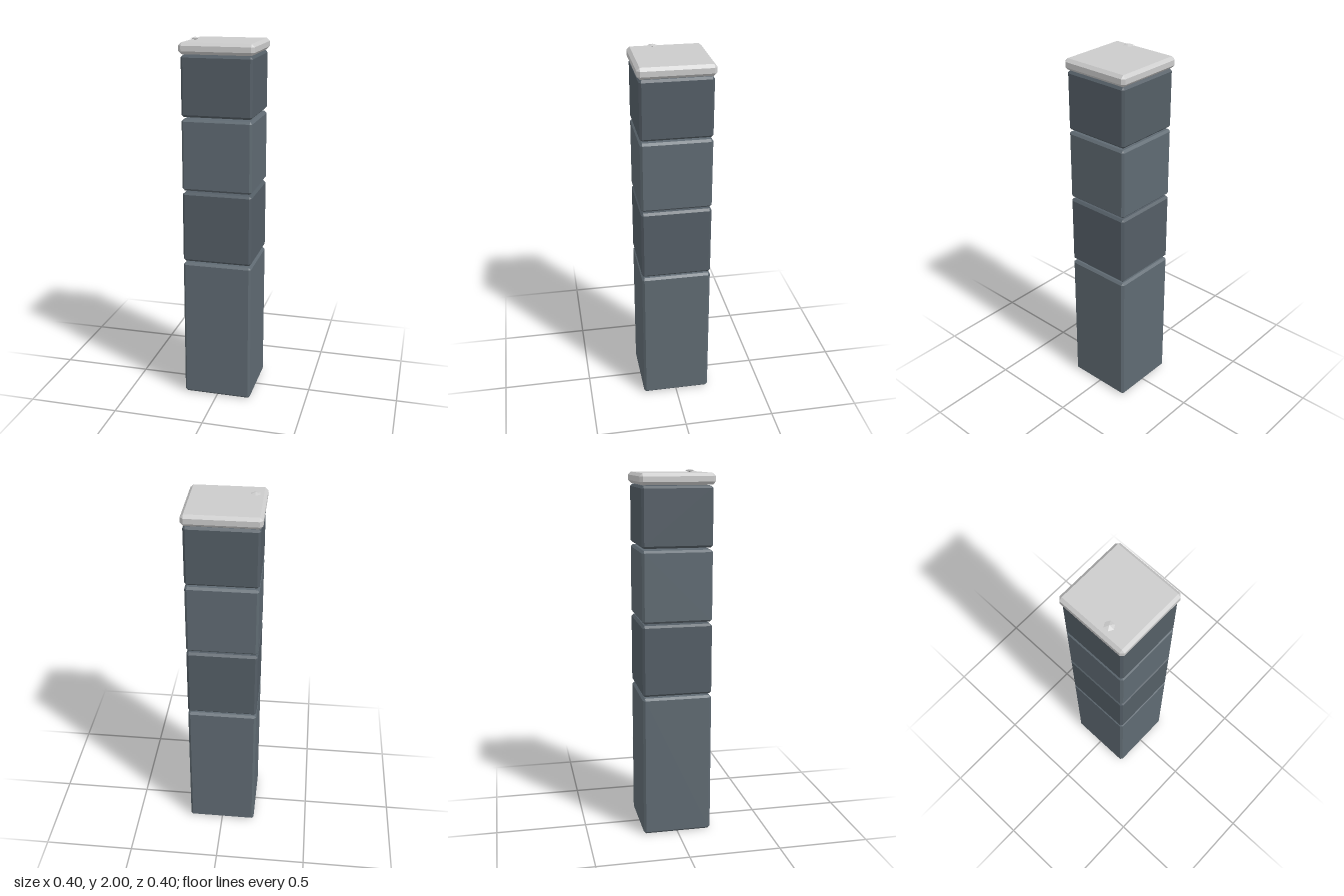
import * as THREE from 'three';
import { ConvexGeometry } from 'three/addons/geometries/ConvexGeometry.js';

// Box with every edge cut at 45 degrees, standing between two heights.
function chamferedBox(name, width, bottom, top, bevel, color) {
  const half = [width / 2, (top - bottom) / 2, width / 2];
  const points = [];
  for (const x of [-1, 1]) for (const y of [-1, 1]) for (const z of [-1, 1]) {
    for (let axis = 0; axis < 3; axis++) {
      const c = [x, y, z].map((s, i) => s * (half[i] - (i === axis ? 0 : bevel)));
      points.push(new THREE.Vector3(...c));
    }
  }
  const mesh = new THREE.Mesh(
    new ConvexGeometry(points),
    new THREE.MeshStandardMaterial({ color, flatShading: true })
  );
  mesh.name = name;
  mesh.position.y = (bottom + top) / 2;
  return mesh;
}

export function createModel() {
  const group = new THREE.Group();
  group.name = 'pillar';

  // Stacked stone blocks in two alternating shades, with thin open joints
  const blocks = [
    ['baseBlock', 0, 0.79],
    ['lowerBlock', 0.8, 1.19],
    ['middleBlock', 1.2, 1.586],
    ['upperBlock', 1.597, 1.916],
  ];
  blocks.forEach(([name, bottom, top], i) => {
    group.add(chamferedBox(name, 0.38, bottom, top, 0.012, i % 2 ? 0x545e66 : 0x5f6a72));
  });

  // Pale, slightly wider cap slab
  group.add(chamferedBox('capSlab', 0.4, 1.92, 1.98, 0.016, 0xcccccc));

  // Small six-sided pebble lying on the cap
  const profile = [[0, -0.008], [0.027, 0], [0, 0.008]].map(([r, y]) => new THREE.Vector2(r, y));
  const pebble = new THREE.Mesh(
    new THREE.LatheGeometry(profile, 6),
    new THREE.MeshStandardMaterial({ color: 0xcccccc, flatShading: true })
  );
  pebble.name = 'pebble';
  pebble.position.set(-0.143, 1.992, 0.07);
  group.add(pebble);

  return group;
}
